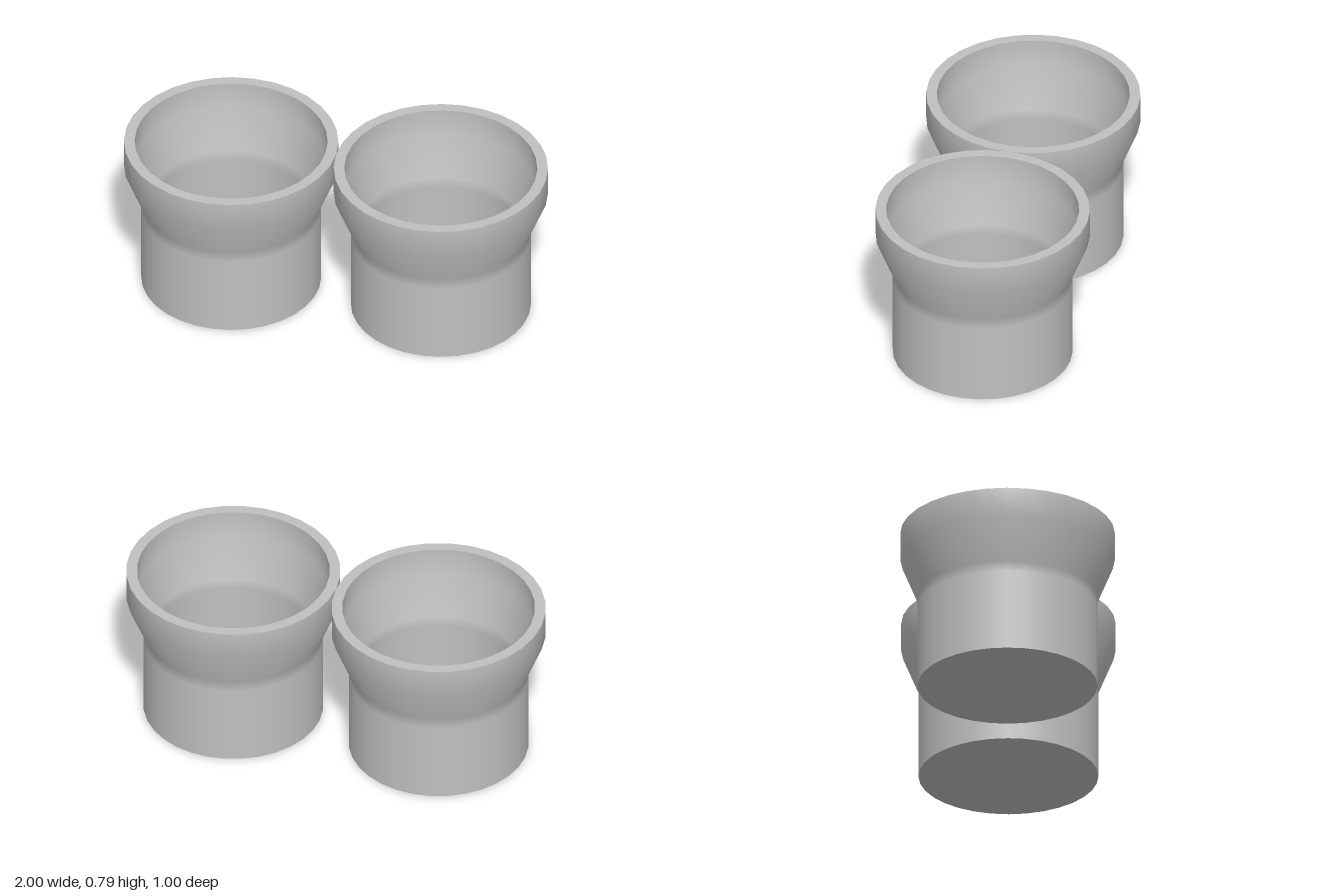
import * as THREE from 'three';

const SIDES = 32;
const grey = new THREE.MeshStandardMaterial({ color: 0xc0c0c0 });
grey.name = 'plain grey';

// Each [radius, height] run is smooth within itself and sharp where runs meet.
const RUNS = {
  base: [[0, 0], [0.42, 0]],
  outerWall: [[0.42, 0], [0.42, 0.395], [0.42, 0.447], [0.5, 0.645], [0.5, 0.785]],
  rim: [[0.5, 0.785], [0.45, 0.785]],
  innerWall: [[0.45, 0.785], [0.45, 0.645], [0.38, 0.447], [0.38, 0.395], [0.38, 0.05]],
  innerFloor: [[0.38, 0.05], [0, 0.05]],
};

function createCup(name, x) {
  const cup = new THREE.Group();
  cup.name = name;
  for (const [part, run] of Object.entries(RUNS)) {
    const points = run.map(([r, y]) => new THREE.Vector2(r, y));
    const mesh = new THREE.Mesh(new THREE.LatheGeometry(points, SIDES), grey);
    mesh.name = part;
    cup.add(mesh);
  }
  cup.position.x = x;
  return cup;
}

export function createModel() {
  const model = new THREE.Group();
  model.name = 'twinFlaredCups';
  // Two equal cups touching at their rims
  model.add(createCup('leftCup', 0.5), createCup('rightCup', -0.5));
  return model;
}
